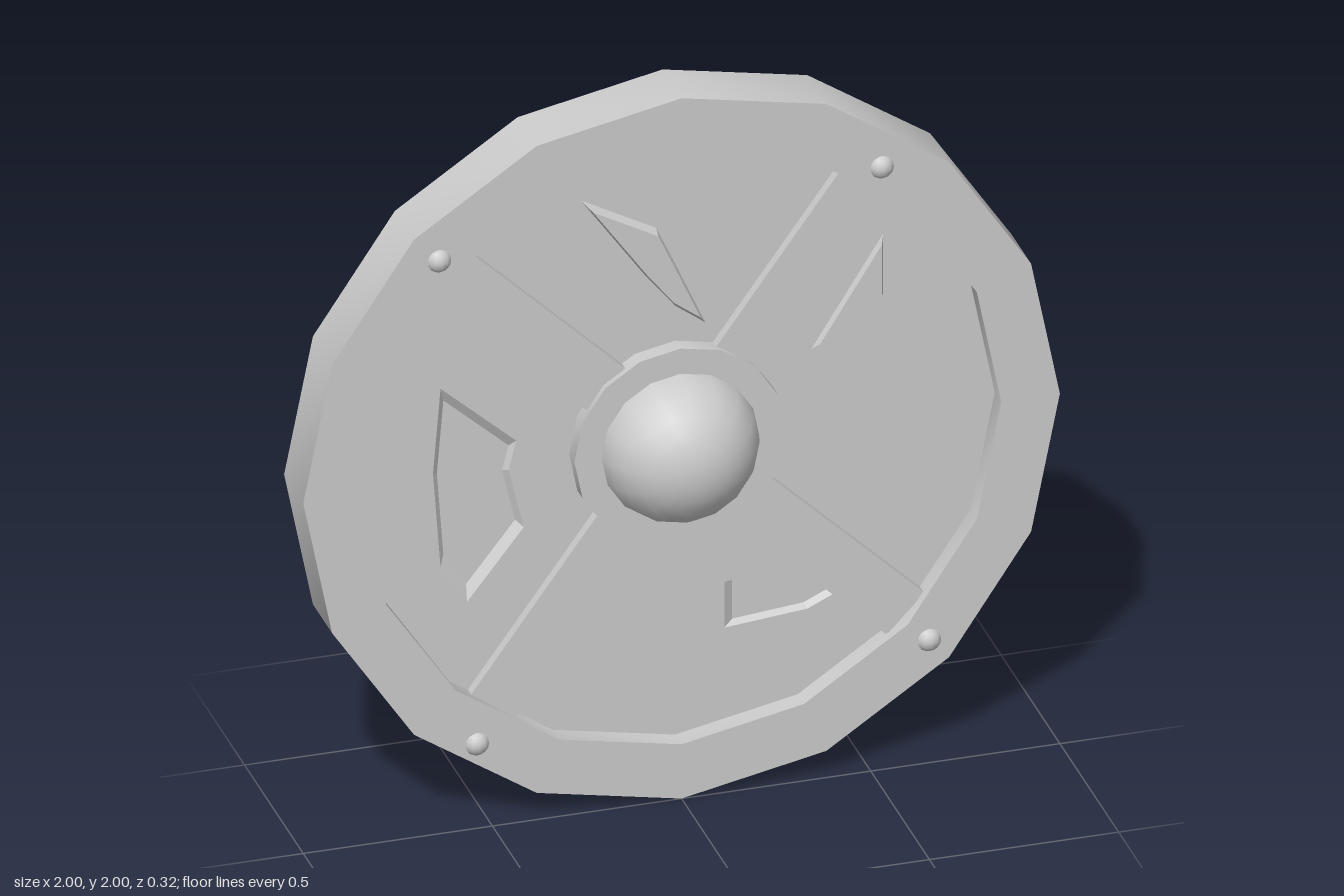
import * as THREE from 'three';
import { toCreasedNormals } from 'three/addons/utils/BufferGeometryUtils.js';

const BACK = -0.163, PANEL = -0.055, SPOKE = -0.027, HUB = -0.01;
const SIDES = 16;

export function createModel() {
  const shield = new THREE.Group();
  shield.name = 'roundShield';
  const disc = new THREE.Group();
  disc.name = 'shieldBody';
  disc.position.y = 1;
  shield.add(disc);
  const material = new THREE.MeshStandardMaterial({ color: 0xcccccc });

  const add = (name, geometry, x = 0, y = 0, z = 0) => {
    const mesh = new THREE.Mesh(geometry, material);
    mesh.name = name;
    mesh.position.set(x, y, z);
    disc.add(mesh);
    return mesh;
  };

  // Revolves [radius, z] points about the z axis, with a corner at the top
  const turned = (profile) => {
    const points = profile.map(([r, z]) => new THREE.Vector2(r, z));
    const g = new THREE.LatheGeometry(points, SIDES).rotateX(Math.PI / 2);
    return toCreasedNormals(g, 0.6);
  };

  // Solid back, outer edge, front rim and the step down to the panel
  add('rim', turned([[0, BACK], [1, BACK], [1, 0], [0.845, 0], [0.845, PANEL - 0.01]]));

  // Battle marks: shallow sloped outlines, raised or sunk by depth
  const marks = [
    { depth: 0.018, pts: [[-0.25, 0.72], [-0.08, 0.48], [0, 0.38], [0.08, 0.32], [0, 0.5], [-0.05, 0.61]] },
    { depth: 0.018, pts: [[0.36, 0.2], [0.55, 0.33], [0.55, 0.5]] },
    { depth: -0.018, pts: [[-0.62, 0.24], [-0.64, 0], [-0.62, -0.27], [-0.55, -0.38], [-0.4, -0.19], [-0.44, -0.02], [-0.42, 0.06]] },
    { depth: -0.018, pts: [[0.13, -0.56], [0.35, -0.54], [0.48, -0.48], [0.5, -0.41], [0.3, -0.4], [0.13, -0.43]] },
  ];
  const vectors = (pts) => pts.map(([x, y]) => new THREE.Vector2(x, y));

  // Recessed panel, open where the marks sit
  const panel = new THREE.Shape();
  for (let i = 0; i < SIDES; i++) {
    const a = (i / SIDES) * Math.PI * 2;
    const x = 0.845 * Math.cos(a), y = 0.845 * Math.sin(a);
    i ? panel.lineTo(x, y) : panel.moveTo(x, y);
  }
  marks.forEach((m) => panel.holes.push(new THREE.Path(vectors(m.pts))));
  add('panel', new THREE.ShapeGeometry(panel), 0, 0, PANEL);

  // Each mark: sloping sides around a smaller flat floor
  marks.forEach(({ depth, pts }, k) => {
    const outer = vectors(pts);
    const mid = outer.reduce((s, p) => s.add(p), new THREE.Vector2()).divideScalar(outer.length);
    const inner = outer.map((p) => p.clone().lerp(mid, 0.14));
    const pos = [];
    outer.forEach((p, i) => {
      const j = (i + 1) % outer.length, q = outer[j], a = inner[i], b = inner[j];
      pos.push(p.x, p.y, 0, q.x, q.y, 0, b.x, b.y, depth);
      pos.push(p.x, p.y, 0, b.x, b.y, depth, a.x, a.y, depth);
    });
    const slope = new THREE.BufferGeometry();
    slope.setAttribute('position', new THREE.Float32BufferAttribute(pos, 3));
    slope.computeVertexNormals();
    add(`markSlope${k + 1}`, slope, 0, 0, PANEL);
    add(`markFloor${k + 1}`, new THREE.ShapeGeometry(new THREE.Shape(inner)), 0, 0, PANEL + depth);
  });

  // Two pairs of straps crossing from hub to rim
  [54, 136, 234, 316].forEach((degrees, i) => {
    const a = THREE.MathUtils.degToRad(degrees);
    const strap = new THREE.BoxGeometry(0.62, 0.145, SPOKE - PANEL + 0.02);
    const z = (SPOKE + PANEL - 0.02) / 2;
    add(`strap${i + 1}`, strap, 0.525 * Math.cos(a), 0.525 * Math.sin(a), z).rotation.z = a;
  });

  // Hub plate with its domed boss
  add('hubPlate', turned([[0.28, PANEL - 0.01], [0.28, HUB], [0, HUB]]));
  const dome = new THREE.SphereGeometry(0.212, SIDES, 8, 0, Math.PI * 2, 0, Math.PI / 2);
  add('boss', dome.rotateX(Math.PI / 2), 0, 0, -0.05);

  // Rivets on the rim, one beyond each strap
  [[-0.64, 0.635], [0.53, 0.72], [-0.54, -0.76], [0.655, -0.65]].forEach(([x, y], i) => {
    add(`rivet${i + 1}`, new THREE.SphereGeometry(0.034, 12, 8), x, y, -0.012);
  });

  return shield;
}
